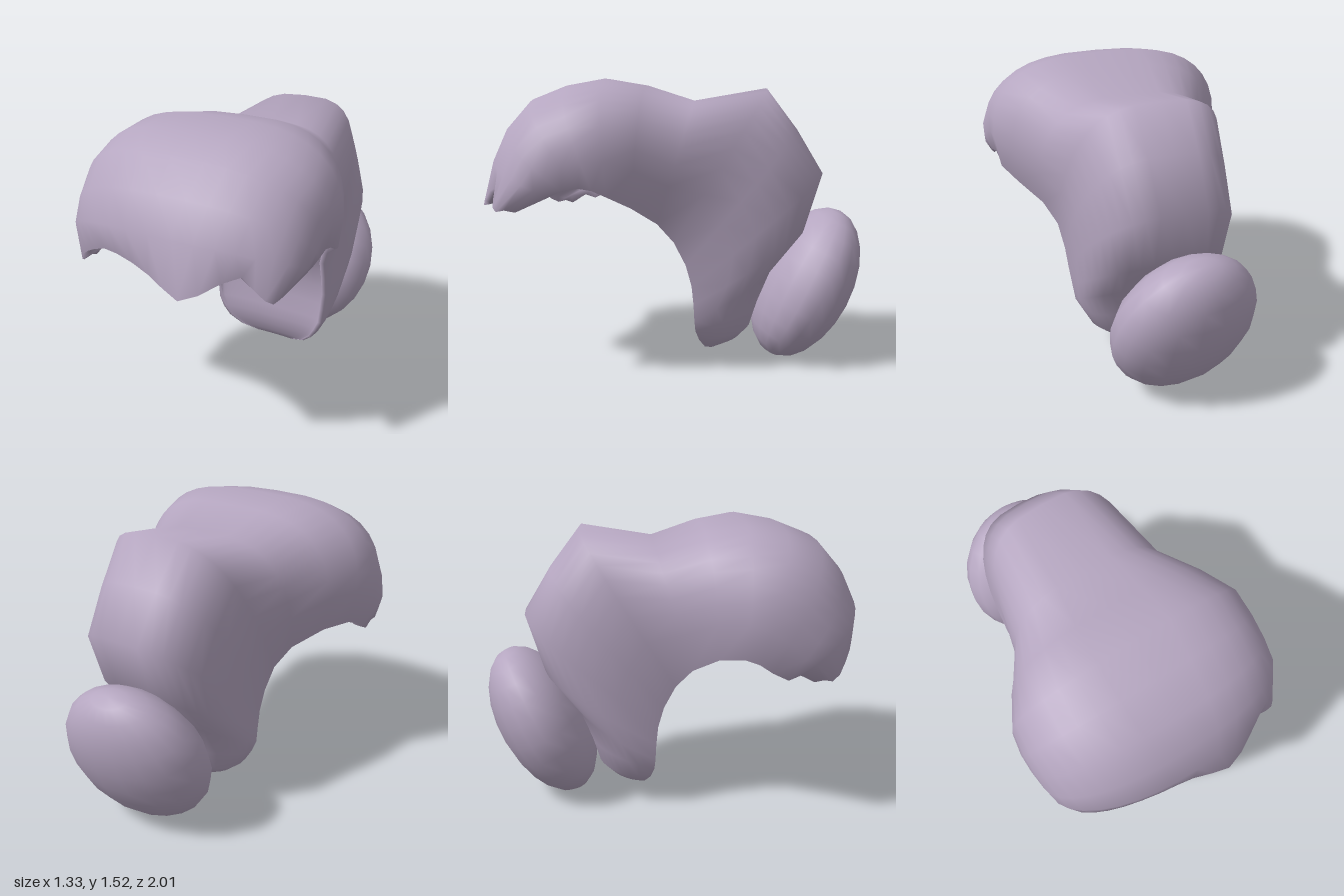
import * as THREE from 'three';

// Sections from the front brim, over the crown, down to the nape:
// [rim z, rim y, outer z, outer y, half width, x shift]
const SECTIONS = [
  [0.66, 0.88, 0.95, 0.90, 0.63, 0.01],
  [0.58, 0.95, 0.95, 1.11, 0.68, 0.01],
  [0.52, 0.98, 0.87, 1.27, 0.69, 0.01],
  [0.44, 0.99, 0.74, 1.415, 0.69, 0],
  [0.38, 0.98, 0.56, 1.485, 0.69, 0],
  [0.31, 0.95, 0.36, 1.52, 0.68, 0.01],
  [0.20, 0.89, 0.15, 1.485, 0.60, 0.02],
  [0.08, 0.80, -0.10, 1.405, 0.48, 0.03],
  [0.00, 0.70, -0.48, 1.47, 0.42, 0.03],
  [-0.06, 0.58, -0.64, 1.26, 0.40, 0.03],
  [-0.09, 0.47, -0.78, 1.03, 0.39, 0.03],
  [-0.10, 0.37, -0.69, 0.73, 0.38, 0.025],
  [-0.105, 0.28, -0.52, 0.52, 0.37, 0.02],
  [-0.11, 0.22, -0.45, 0.34, 0.34, 0.015],
  [-0.13, 0.16, -0.41, 0.20, 0.30, 0.01],
  [-0.16, 0.105, -0.36, 0.14, 0.23, 0.01],
  [-0.195, 0.07, -0.25, 0.085, 0.12, 0.01],
];

// Height of the ragged front edge across x
const BRIM = [[-0.64, 0.86], [-0.57, 0.78], [-0.48, 0.88], [-0.3, 0.97], [-0.15, 0.97],
  [0.23, 0.85], [0.44, 0.99], [0.59, 0.87], [0.65, 0.93]];

function brimHeight(x) {
  let k = 0;
  while (k < BRIM.length - 2 && x > BRIM[k + 1][0]) k++;
  const [a, b] = [BRIM[k], BRIM[k + 1]];
  return THREE.MathUtils.lerp(a[1], b[1], THREE.MathUtils.clamp((x - a[0]) / (b[0] - a[0]), 0, 1));
}

// 1 at the centre, falling to 0 at the given reach
const peak = (v, centre, reach) => Math.max(0, 1 - Math.abs(v - centre) / reach);

function hairShell() {
  const M = 20, row = 2 * (M + 1), pos = [], index = [];
  const end = SECTIONS.length - 1;
  SECTIONS.forEach(([rz, ry, oz, oy, w, shift], i) => {
    const square = 2 / (2 + 1.2 * Math.sin(Math.PI * i / end)); // boxier over the crown
    const depth = i === 0 ? 0.9 : 0.05 + 0.15 / i;              // thin brim, shallow underside
    const drop = 0.18 * peak(i, 2.2, 3.5);                      // right side hangs lower
    for (let k = 0; k < row; k++) {
      // outer arch from left to right, then the underside back again
      const inner = k > M;
      const t = Math.PI * (inner ? row - 1 - k : k) / M;
      const c = Math.cos(t);
      const up = Math.pow(Math.max(0, Math.sin(t)), square);
      const tuck = 1 - 0.08 * Math.pow(1 - up, 3);
      const x = shift + w * (inner ? 0.93 : 1) * tuck * Math.sign(c) * Math.pow(Math.abs(c), square);
      const h = up * (inner ? depth : 1);
      let y = ry + (oy - ry) * h, z = rz + (oz - rz) * h;
      if (c < 0) y -= drop * Math.pow(1 - up, 1.2);
      if (i === 0) {
        // ragged edge with a forward tip and a jutting left corner
        y = brimHeight(x);
        z += 0.08 * peak(x, 0.23, 0.25) + 0.1 * peak(x, 0.6, 0.15);
      }
      pos.push(x, y, z);
    }
  });
  const quad = (a, b, c, d) => index.push(a, b, c, a, c, d);
  const last = end * row;
  for (let i = 0; i < end; i++) {
    for (let k = 0; k < row; k++) {
      const n = (k + 1) % row, a = i * row;
      quad(a + k, a + row + k, a + row + n, a + n);
    }
  }
  // close the brim and the nape
  for (let k = 0; k < M; k++) {
    quad(k, k + 1, row - 2 - k, row - 1 - k);
    quad(last + row - 1 - k, last + row - 2 - k, last + k + 1, last + k);
  }
  const geo = new THREE.BufferGeometry();
  geo.setAttribute('position', new THREE.Float32BufferAttribute(pos, 3));
  geo.setIndex(index);
  geo.computeVertexNormals();
  return geo;
}

export function createModel() {
  const group = new THREE.Group();
  const material = new THREE.MeshStandardMaterial({ color: 0xb5a6c0 });

  const hair = new THREE.Mesh(hairShell(), material);
  hair.name = 'hair';
  group.add(hair);

  // flattened bun leaning back against the nape
  const bun = new THREE.Mesh(new THREE.SphereGeometry(1, 18, 12), material);
  bun.name = 'bun';
  bun.scale.set(0.385, 0.44, 0.24);
  bun.rotation.set(-0.45, 0.12, 0);
  bun.position.set(-0.01, 0.412, -0.71);
  group.add(bun);

  return group;
}
